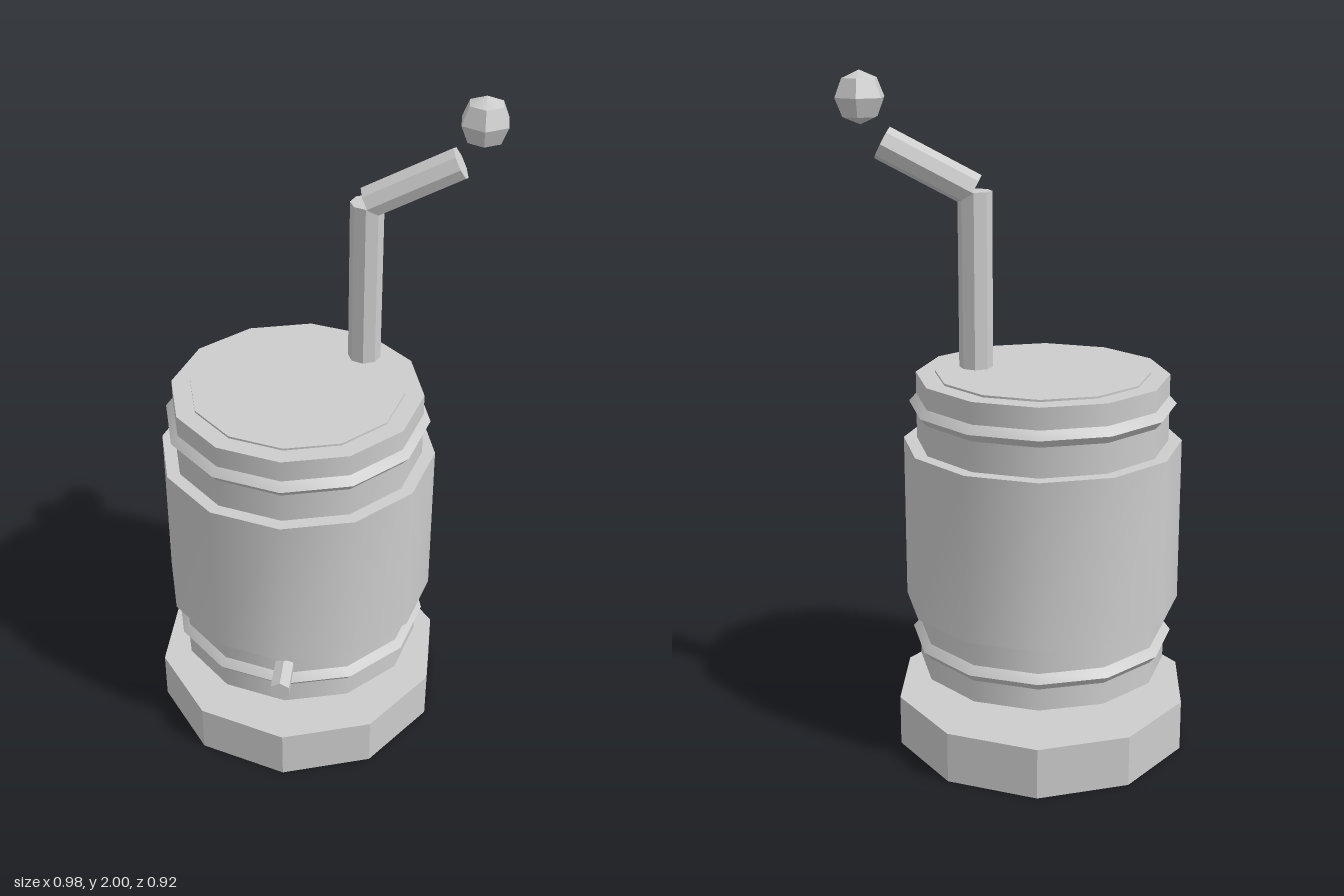
import * as THREE from 'three';
import { toCreasedNormals } from 'three/addons/utils/BufferGeometryUtils.js';

export function createModel() {
  const model = new THREE.Group();
  model.name = 'barrelWithPipe';
  const grey = new THREE.MeshStandardMaterial({ color: 0xcccccc });
  grey.name = 'grey';

  // Smooths the twelve-sided walls, keeps coarser corners sharp
  const add = (name, geometry, x, y, z) => {
    const mesh = new THREE.Mesh(toCreasedNormals(geometry, 0.56), grey);
    mesh.name = name;
    mesh.position.set(x, y, z);
    model.add(mesh);
    return mesh;
  };

  const cx = -0.068, cz = -0.014;
  const drum = (name, radius, bottom, top, sides = 12) =>
    add(name, new THREE.CylinderGeometry(radius, radius, top - bottom, sides), cx, (bottom + top) / 2, cz);

  // Base slab and barrel
  drum('base', 0.444, 0, 0.153, 10);
  drum('barrel', 0.371, 0.238, 1.133);
  drum('barrelBand', 0.41, 0.438, 0.933);
  drum('lid', 0.315, 1.1, 1.139);

  // Ridged hoops
  for (const [name, y] of [['lowerHoop', 0.328], ['upperHoop', 1.045]]) {
    const profile = [[0.36, -0.024], [0.371, -0.024], [0.392, 0], [0.371, 0.024], [0.36, 0.024]];
    add(name, new THREE.LatheGeometry(profile.map(p => new THREE.Vector2(...p)), 12), cx, y, cz);
  }

  // Spigot at the front
  const spigot = new THREE.CylinderGeometry(0.031, 0.031, 0.11, 6);
  add('spigot', spigot.rotateX(Math.PI / 2), cx, 0.376, 0.403);

  // Bent pipe with a loose knob
  const pz = -0.137;
  const pipe = (name, x, y, length, tilt) => {
    const mesh = add(name, new THREE.CylinderGeometry(0.048, 0.048, length, 8), x, y, pz);
    mesh.rotation.z = tilt;
  };
  pipe('uprightPipe', 0.117, 1.43, 0.495, 0);
  pipe('slantedPipe', 0.244, 1.742, 0.28, -1.09);
  add('knob', new THREE.SphereGeometry(0.0725, 6, 4).rotateY(Math.PI / 6), 0.426, 1.9275, pz);

  return model;
}
